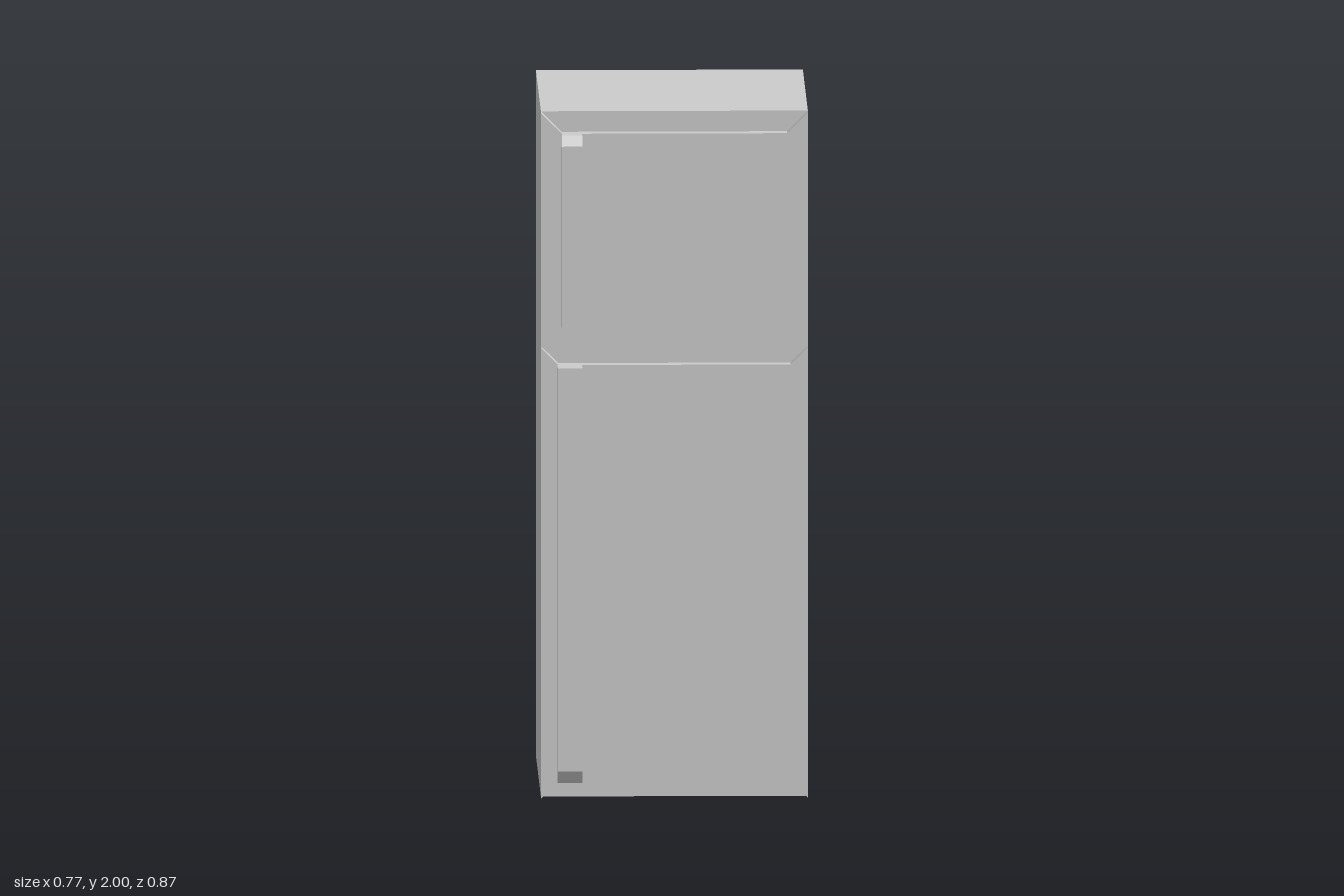
import * as THREE from 'three';

const W = 0.385, BACK = -0.433, SEAM = 0.333, FRONT = 0.371, GRIP = 0.433;

const material = new THREE.MeshStandardMaterial({ color: 0xcccccc, flatShading: true });

function add(group, name, geometry) {
  const mesh = new THREE.Mesh(geometry, material);
  mesh.name = name;
  group.add(mesh);
  return mesh;
}

function extrude(points, depth) {
  const shape = new THREE.Shape(points.map(([x, y]) => new THREE.Vector2(x, y)));
  return new THREE.ExtrudeGeometry(shape, { depth, bevelEnabled: false });
}

// Door panel whose top and bottom edges dip inward between pointed corners
function addDoor(group, name, y0, y1, dipBottom, dipTop) {
  const geometry = extrude([
    [-W, y0], [-W + dipBottom, y0 + dipBottom], [W - dipBottom, y0 + dipBottom], [W, y0],
    [W, y1], [W - dipTop, y1 - dipTop], [-W + dipTop, y1 - dipTop], [-W, y1],
  ], FRONT - SEAM);
  add(group, name, geometry).position.z = SEAM;
}

// Handle bar: a (z, y) side profile extruded across x
function addHandle(group, name, x0, x1, profile) {
  const geometry = extrude(profile.map(([z, y]) => [-z, y]), x1 - x0);
  geometry.rotateY(Math.PI / 2);
  add(group, name, geometry).position.x = x0;
}

export function createModel() {
  const group = new THREE.Group();
  group.name = 'refrigerator';

  // Cabinet
  const cabinet = add(group, 'cabinet', new THREE.BoxGeometry(2 * W, 2, SEAM - BACK));
  cabinet.position.set(0, 1, (SEAM + BACK) / 2);

  // Freezer door above, main door below
  addDoor(group, 'freezerDoor', 1.315, 2, 0.06, 0.06);
  addDoor(group, 'mainDoor', 0, 1.315, 0.05, 0.05);

  // Handles, each chamfered at its far end
  addHandle(group, 'freezerHandle', -0.327, -0.267, [
    [FRONT, 1.375], [GRIP, 1.375], [GRIP, 1.912], [0.404, 1.94], [FRONT, 1.94],
  ]);
  addHandle(group, 'mainHandle', -0.338, -0.267, [
    [FRONT, 0.05], [0.404, 0.05], [GRIP, 0.088], [GRIP, 1.265], [FRONT, 1.265],
  ]);

  return group;
}
